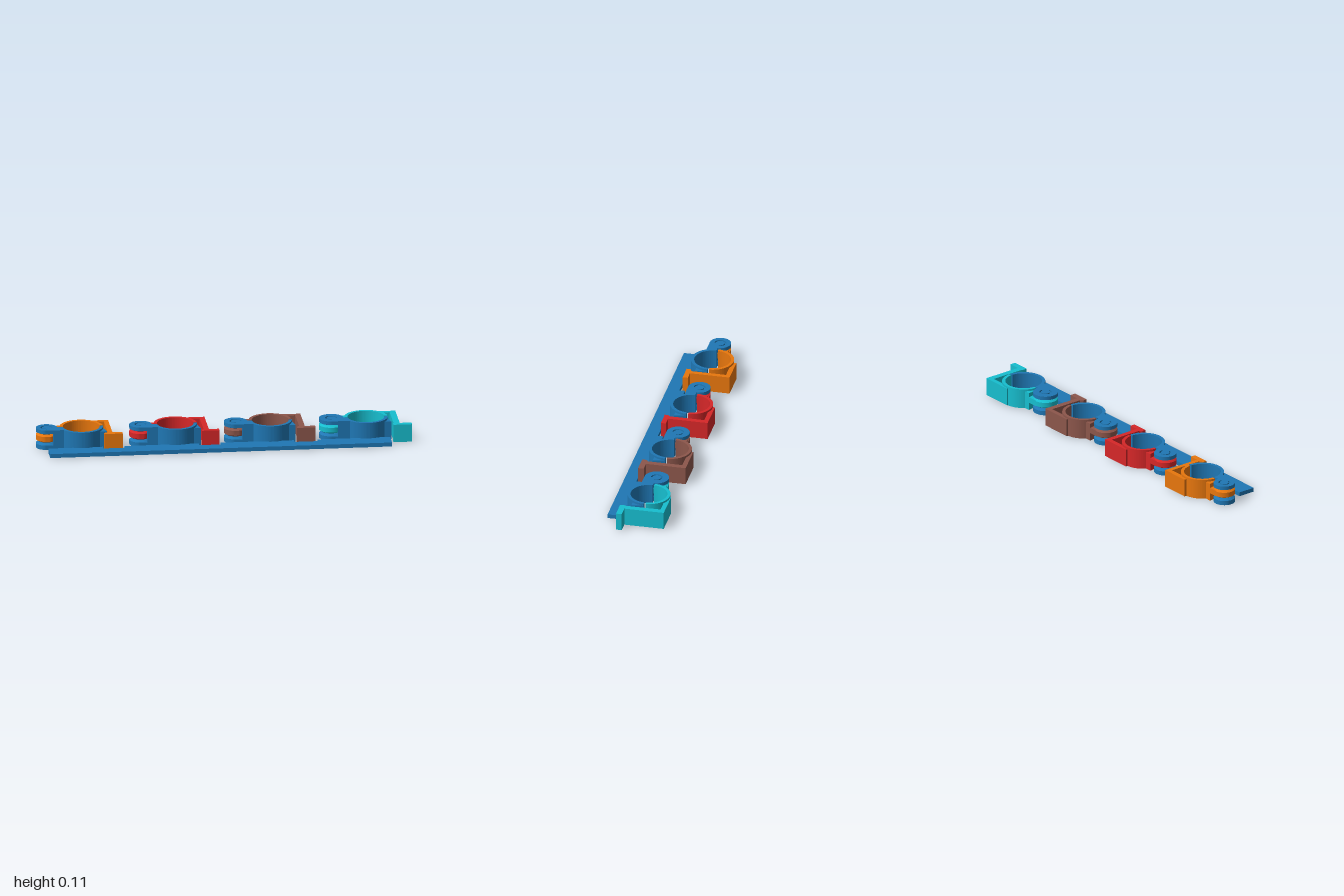
import * as THREE from 'three';
import { toCreasedNormals } from 'three/addons/utils/BufferGeometryUtils.js';

const mat = (name, color) => {
  const m = new THREE.MeshStandardMaterial({ color });
  m.name = name;
  return m;
};

// Shape drawn in (x, z), raised from y0 to y1
function plate(shape, y0, y1) {
  const g = new THREE.ExtrudeGeometry(shape, { depth: y1 - y0, bevelEnabled: false, curveSegments: 28 });
  g.rotateX(Math.PI / 2).translate(0, y1, 0);
  return toCreasedNormals(g, 0.5);
}
const poly = (pts) => new THREE.Shape(pts.map((p) => new THREE.Vector2(p[0], p[1])));
const rect = (x0, x1, z0, z1) => poly([[x0, z0], [x1, z0], [x1, z1], [x0, z1]]);

function arcBand(inner, outer, a0, a1) {
  const s = new THREE.Shape();
  s.absarc(0, 0, outer, a0, a1, false);
  s.absarc(0, 0, inner, a1, a0, true);
  s.closePath();
  return s;
}
const lathe = (pts) =>
  toCreasedNormals(new THREE.LatheGeometry(pts.map((p) => new THREE.Vector2(p[0], p[1])), 40), 0.5);

const RIN = 0.098, ROUT = 0.115, TOP = 0.108, FLANGE = 0.097, CZ = -0.036, HINGE = -0.186;

export function createModel() {
  const root = new THREE.Group();
  root.name = 'hingedClipSet';
  const blue = mat('blue', 0x1f77b4);
  const add = (parent, name, geo, material, x = 0) => {
    const m = new THREE.Mesh(geo, material);
    m.name = name;
    m.position.x = x;
    parent.add(m);
  };

  // x = ring centre, r = knuckle radius, bar = latch arm, hook = latch foot, back = rear face
  const clips = [
    { name: 'orange', color: 0xee7a0e, x: -0.757, r: 0.057, bar: [0.132, 0.157], hook: [0.112, 0.209], z: [0.052, 0.08], back: -0.164 },
    { name: 'red', color: 0xd62728, x: -0.254, r: 0.06, bar: [0.142, 0.17], hook: [0.13, 0.224], z: [0.054, 0.081], back: -0.162 },
    { name: 'brown', color: 0x8c564b, x: 0.254, r: 0.062, bar: [0.145, 0.175], hook: [0.131, 0.23], z: [0.057, 0.088], back: -0.159 },
    { name: 'cyan', color: 0x17becf, x: 0.767, r: 0.066, bar: [0.137, 0.17], hook: [0.133, 0.233], z: [0.06, 0.091], back: -0.155 },
  ];

  // Base strip, notched around the latch feet
  const outline = [[-0.945, 0.163], [-0.945, 0.065]];
  for (const [a, b] of [[-0.652, -0.538], [-0.14, -0.022], [0.37, 0.495]])
    outline.push([a, 0.065], [a, 0.095], [b, 0.095], [b, 0.065]);
  outline.push([0.885, 0.065], [0.885, 0.163]);
  add(root, 'baseStrip', plate(poly(outline), 0, 0.022), blue);

  for (const c of clips) {
    const paint = mat(c.name, c.color);
    const g = new THREE.Group();
    g.name = c.name + 'Clip';
    g.position.set(c.x, 0, CZ);
    root.add(g);
    const r = c.r;

    // Fixed lower half: half ring, hinge arm, catch
    add(g, 'lowerHalfRing', plate(arcBand(RIN, ROUT, 0.03, Math.PI - 0.02), 0, TOP), blue);
    add(g, 'lowerHingeArm', plate(poly([[HINGE + 0.03, 0.003], [-0.107, 0.003], [-0.099, 0.04], [-0.088, r], [HINGE + 0.03, r]]), 0, TOP), blue);
    add(g, 'catch', plate(poly([[0.1, 0.006], [0.117, 0.006], [0.129, 0.068], [0.082, 0.068], [0.1, 0.04]]), 0, TOP - 0.011), blue);

    // Fixed knuckles with a pin in the upper one
    add(g, 'upperKnuckle', lathe([[0, 0.083], [r - 0.012, 0.083], [r, 0.088], [r, TOP], [0.032, TOP], [0.032, 0.098], [0.024, 0.098], [0.024, TOP], [0, TOP]]), blue, HINGE);
    add(g, 'lowerKnuckle', lathe([[0, 0], [r, 0], [r, 0.024], [r - 0.014, 0.033], [0, 0.033]]), blue, HINGE);
    for (const [y0, y1] of [[0, 0.024], [0.088, TOP]])
      add(g, 'knuckleWeb', plate(rect(HINGE, HINGE + 0.034, 0.005, r), y0, y1), blue);

    // Moving upper half: middle knuckle, hinge arm, half ring
    add(g, 'middleKnuckle', lathe([[0, 0.037], [r - 0.014, 0.037], [r, 0.045], [r, 0.072], [r - 0.012, 0.08], [0, 0.08]]), paint, HINGE);
    add(g, 'middleKnuckleWeb', plate(rect(HINGE, HINGE + 0.07, -r, -0.008), 0.043, 0.074), paint);
    add(g, 'upperHingeArm', plate(poly([[HINGE + r + 0.004, -0.008], [HINGE + r - 0.008, -r], [-0.09, -r], [-0.106, -0.008]]), 0, FLANGE), paint);
    add(g, 'upperHalfRing', plate(arcBand(RIN, ROUT, Math.PI + 0.06, 2 * Math.PI - 0.06), 0, TOP), paint);

    // Square latch arm ending in a hooked foot
    const [b0, b1] = c.bar, [h0, h1] = c.hook;
    const back = c.back - CZ, f0 = c.z[0] - CZ, f1 = c.z[1] - CZ;
    add(g, 'latchArm', plate(poly([
      [-0.008, back], [b1, back], [b1, f0], [h1, f0], [h1, f1], [h0, f1],
      [h0, f0 + 0.008], [b0, f0 - 0.004], [b0, back + 0.025], [0.06, back + 0.025], [0.03, -0.1], [-0.008, -0.1],
    ]), 0, FLANGE), paint);
  }
  return root;
}
